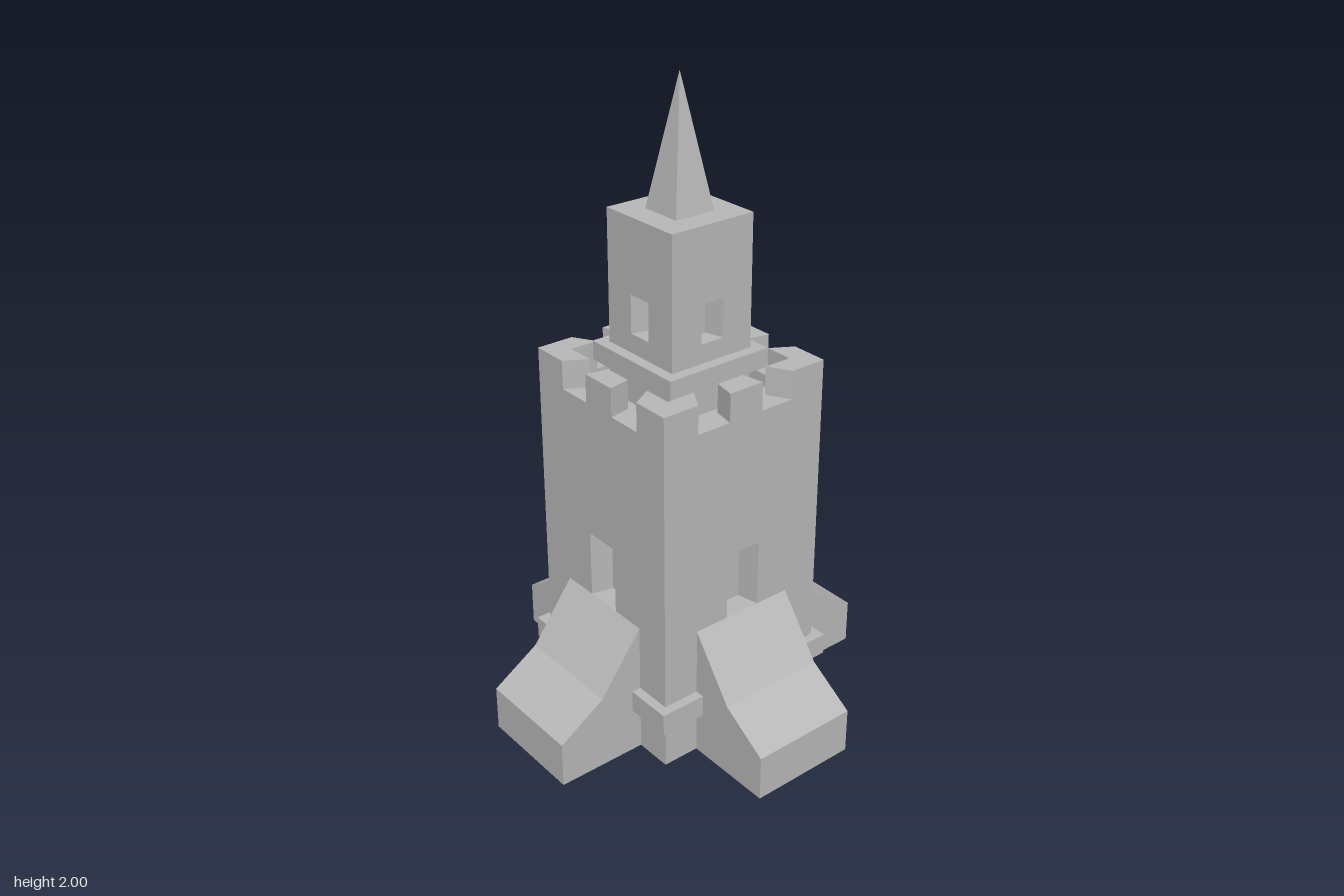
import * as THREE from 'three';

export function createModel() {
  const model = new THREE.Group();
  model.name = 'tower';
  const stone = new THREE.MeshStandardMaterial({ color: 0xb8b8b8 });
  stone.name = 'grey stone';

  const add = (name, geometry) => {
    const mesh = new THREE.Mesh(geometry, stone);
    mesh.name = name;
    model.add(mesh);
    return mesh;
  };

  // square block given by half width and height range
  const block = (name, half, y0, y1) =>
    add(name, new THREE.BoxGeometry(half * 2, y1 - y0, half * 2).translate(0, (y0 + y1) / 2, 0));

  // the same part on all four sides
  const fourSides = (name, geometry) => {
    for (let i = 0; i < 4; i++) add(name, geometry).rotation.y = i * Math.PI / 2;
  };

  // wall with a window recess, mitred so that all openings taper inwards
  const wall = (outline, win, outer, inner) => {
    const shape = new THREE.Shape(outline.map(([x, y]) => new THREE.Vector2(x, y)));
    const [w, y0, y1] = win;
    shape.holes.push(new THREE.Path([
      new THREE.Vector2(-w, y0), new THREE.Vector2(-w, y1),
      new THREE.Vector2(w, y1), new THREE.Vector2(w, y0),
    ]));
    const g = new THREE.ExtrudeGeometry(shape, { depth: outer - inner, bevelEnabled: false });
    g.translate(0, 0, inner);
    const p = g.attributes.position;
    for (let i = 0; i < p.count; i++) p.setX(i, p.getX(i) * p.getZ(i) / outer);
    g.computeVertexNormals();
    return g;
  };

  // main tower with battlements
  const R = 0.295, top = 1.17, low = 1.08;
  const right = [[R, 0], [R, top], [0.175, top], [0.175, low], [0.06, low], [0.06, top]];
  const left = right.map(([x, y]) => [-x, y]).reverse();
  block('towerCore', 0.225, 0, 1.04);
  fourSides('battlementWall', wall([...right, ...left], [0.06, 0.43, 0.645], R, 0.225));

  // stone band around the foot
  block('baseBand', 0.325, 0.145, 0.215);

  // sloping buttresses
  const profile = new THREE.Shape([
    [0.29, 0], [0.585, 0], [0.585, 0.145], [0.435, 0.24], [0.295, 0.43], [0.29, 0.43],
  ].map(([z, y]) => new THREE.Vector2(z, y)));
  const buttress = new THREE.ExtrudeGeometry(profile, { depth: 0.35, bevelEnabled: false });
  buttress.translate(0, 0, -0.175).rotateY(-Math.PI / 2);
  fourSides('buttress', buttress);

  // upper tower on its collar
  const r = 0.145;
  block('collar', 0.18, 1.14, 1.2);
  block('upperCore', 0.085, 1.04, 1.61);
  fourSides('upperWall', wall([[r, 1.04], [r, 1.61], [-r, 1.61], [-r, 1.04]], [0.04, 1.26, 1.38], r, 0.085));

  // four-sided spire
  const spire = new THREE.ConeGeometry(0.068 * Math.SQRT2, 0.39, 4).toNonIndexed();
  spire.rotateY(Math.PI / 4).translate(0, 1.805, 0);
  spire.computeVertexNormals();
  add('spire', spire);

  return model;
}
